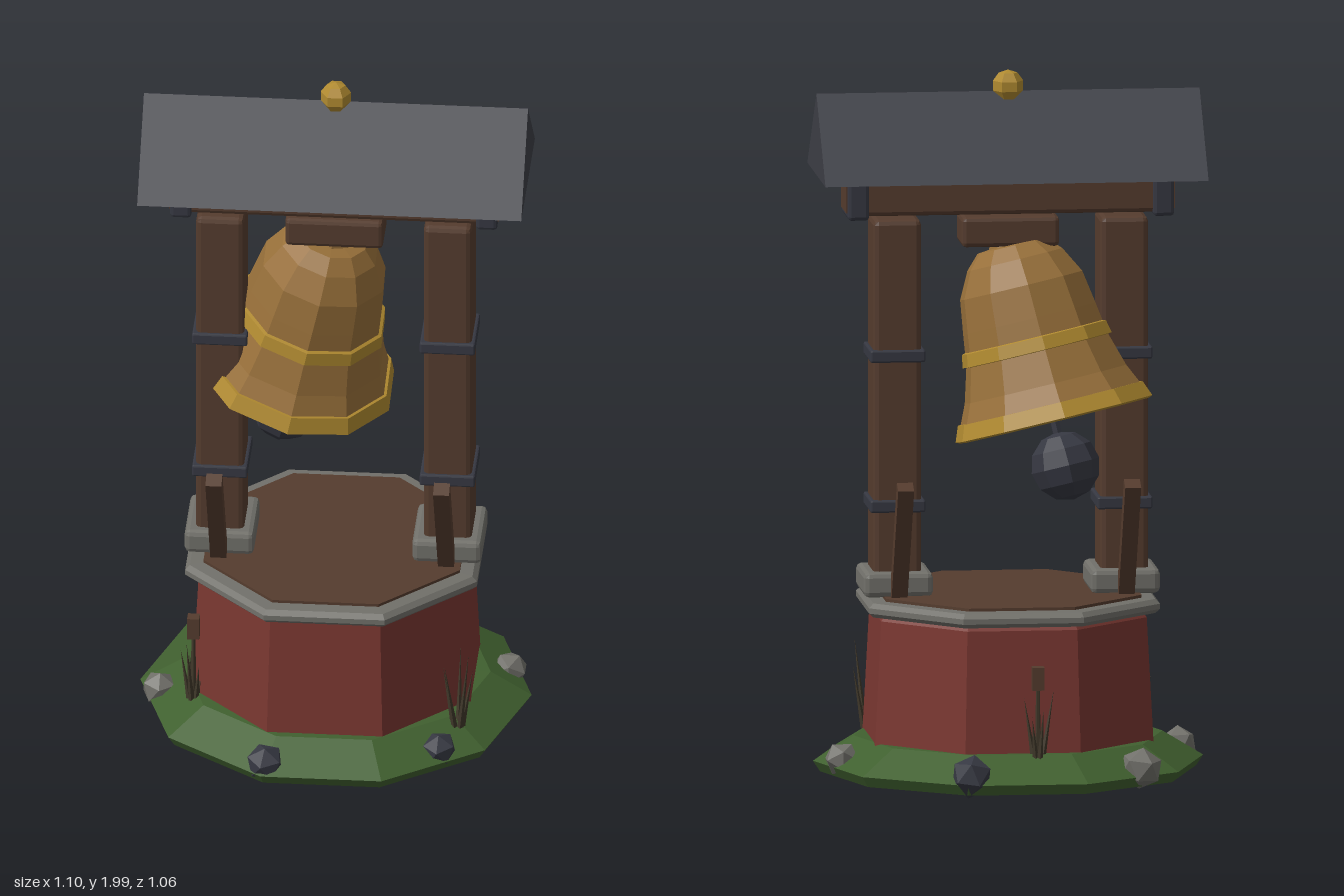
import * as THREE from 'three';
import { RoundedBoxGeometry } from 'three/addons/geometries/RoundedBoxGeometry.js';

const mat = (name, color) => {
  const m = new THREE.MeshStandardMaterial({ color });
  m.name = name;
  return m;
};

// Faceted copy of a geometry
const flat = (g) => {
  const f = g.index ? g.toNonIndexed() : g;
  f.computeVertexNormals();
  return f;
};

export function createModel() {
  const root = new THREE.Group();
  root.name = 'bellShrine';

  const wood = mat('wood', 0x553c2e);
  const brick = mat('red paint', 0x7a3731);
  const stone = mat('stone', 0x71706a);
  const slate = mat('slate', 0x3d3f46);
  const iron = mat('iron', 0x363842);
  const bronze = mat('bronze', 0x98703a);
  const gold = mat('gold', 0xb08a30);
  const grass = mat('grass', 0x40602f);
  const reed = mat('dry reed', 0x40382a);
  const hollow = mat('bell hollow', 0x35270f);

  const add = (name, geo, material, pos = [0, 0, 0], rot = [0, 0, 0], parent = root) => {
    const m = new THREE.Mesh(flat(geo), material);
    m.name = name;
    m.position.set(...pos);
    m.rotation.set(...rot);
    parent.add(m);
    return m;
  };
  const lathe = (pts, sides, start = 0) =>
    new THREE.LatheGeometry(pts.map(p => new THREE.Vector2(...p)), sides, start, Math.PI * 2);
  const block = (w, h, d, bevel = 0.012) => new RoundedBoxGeometry(w, h, d, 1, bevel);

  // Grassy mound
  add('mound', lathe([[0, 0.02], [0.53, 0.02], [0.55, 0.05], [0.435, 0.12], [0, 0.125]], 10, Math.PI / 2), grass);

  // Octagonal plinth, rim and floor
  const oct = Math.PI / 8;
  add('plinth', lathe([[0.425, 0.11], [0.405, 0.465], [0.385, 0.49]], 8, oct), brick);
  add('plinthRim', lathe([[0.38, 0.475], [0.43, 0.478], [0.444, 0.49], [0.444, 0.505], [0.43, 0.518], [0.385, 0.52]], 8, oct), stone);
  add('floor', lathe([[0.39, 0.5], [0.39, 0.528], [0, 0.53]], 8, oct), wood);

  // Posts with stone feet, iron bands, beam caps and leaning stakes
  for (const s of [-1, 1]) {
    const x = s * 0.32;
    add('postFoot', block(0.195, 0.07, 0.225, 0.015), stone, [x, 0.56, 0]);
    add('post', block(0.135, 1.06, 0.165, 0.015), wood, [x, 1.06, 0]);
    for (const y of [0.78, 1.205])
      add('postBand', block(0.155, 0.035, 0.185, 0.005), iron, [x, y, 0]);
    add('beamCap', block(0.06, 0.12, 0.175, 0.01), iron, [s * 0.43, 1.65, 0]);
    add('beamEnd', new THREE.BoxGeometry(0.008, 0.08, 0.135), wood, [s * 0.46, 1.65, 0]);
    for (const t of [-1, 1])
      add('stake', new THREE.BoxGeometry(0.045, 0.37, 0.042), wood, [x, 0.7, t * 0.2], [t * 0.48, 0, 0]);
  }

  // Cross beam and bell hanger
  add('crossBeam', block(0.86, 0.1, 0.15), wood, [0, 1.65, 0]);
  add('bellHanger', block(0.275, 0.085, 0.15), wood, [0, 1.55, 0]);

  // Gabled roof and finial
  const gable = new THREE.Shape([[-0.235, 1.71], [0.235, 1.71], [0, 1.94]].map(p => new THREE.Vector2(...p)));
  const roof = new THREE.ExtrudeGeometry(gable, { depth: 1.08, bevelEnabled: false });
  roof.translate(0, 0, -0.54).rotateY(Math.PI / 2);
  add('roof', roof, slate);
  add('finial', new THREE.SphereGeometry(0.045, 6, 5), gold, [0, 1.955, 0]);

  // Swinging bell, hung from its pivot
  const bell = new THREE.Group();
  bell.name = 'bell';
  bell.position.set(0, 1.54, 0);
  bell.rotation.set(0.16, 0, -0.225);
  root.add(bell);
  const put = (name, geo, m, pos) => add(name, geo, m, pos, [0, 0, 0], bell);
  const wall = [[0.28, -0.53], [0.238, -0.44], [0.208, -0.34], [0.195, -0.25], [0.18, -0.155], [0.14, -0.08], [0.1, -0.04], [0, -0.03]];
  put('bellBody', lathe(wall, 10), bronze);
  put('bellInside', lathe(wall.map(([r, y]) => [Math.max(0, r - 0.02), y - 0.005]).reverse(), 10), hollow);
  put('bellLip', lathe([[0.258, -0.53], [0.278, -0.545], [0.29, -0.54], [0.272, -0.495], [0.255, -0.495]], 10), gold);
  put('bellWaist', lathe([[0.2, -0.345], [0.22, -0.342], [0.212, -0.305], [0.195, -0.3]], 10), gold);
  put('bellCrown', new THREE.CylinderGeometry(0.05, 0.07, 0.06, 8), bronze, [0, -0.025, 0]);
  put('clapperRod', new THREE.CylinderGeometry(0.014, 0.014, 0.5, 6), iron, [0, -0.36, 0]);
  put('clapper', new THREE.SphereGeometry(0.098, 8, 6), iron, [0, -0.675, 0]);

  // Rocks around the mound
  [[0.48, -0.11, 0.052, stone], [-0.49, 0.08, 0.052, stone], [-0.335, -0.37, 0.062, stone],
    [0.155, -0.48, 0.062, iron], [0.32, 0.36, 0.052, iron], [-0.16, 0.475, 0.055, iron]]
    .forEach(([x, z, r, m], i) => {
      const rock = add('rock', new THREE.IcosahedronGeometry(r, 0), m, [x, 0.07, z], [i * 1.3, i * 0.9, i * 0.5]);
      rock.scale.y = 0.95;
    });

  // Reed tufts: thin leaning blades, two with a seed head
  [[0.365, 0.275, false], [-0.385, 0.19, true], [-0.04, -0.41, true]].forEach(([x, z, head], k) => {
    const tuft = new THREE.Group();
    tuft.name = 'reedTuft';
    tuft.position.set(x, 0.1, z);
    root.add(tuft);
    for (let i = 0; i < 5; i++) {
      const a = i * 2.4 + k;
      const h = (head ? 0.13 : 0.18) + 0.025 * (i % 4);
      const blade = new THREE.ConeGeometry(0.009, h, 4).translate(0, h / 2, 0);
      add('blade', blade, reed, [Math.cos(a) * 0.012, 0, Math.sin(a) * 0.012],
        [Math.sin(a) * 0.17, 0, -Math.cos(a) * 0.17], tuft);
    }
    if (head) {
      add('stem', new THREE.CylinderGeometry(0.006, 0.008, 0.22, 5), reed, [0, 0.11, 0], [0, 0, 0], tuft);
      add('seedHead', new THREE.BoxGeometry(0.034, 0.065, 0.034), wood, [0, 0.235, 0], [0, 0, 0], tuft);
    }
  });

  return root;
}
